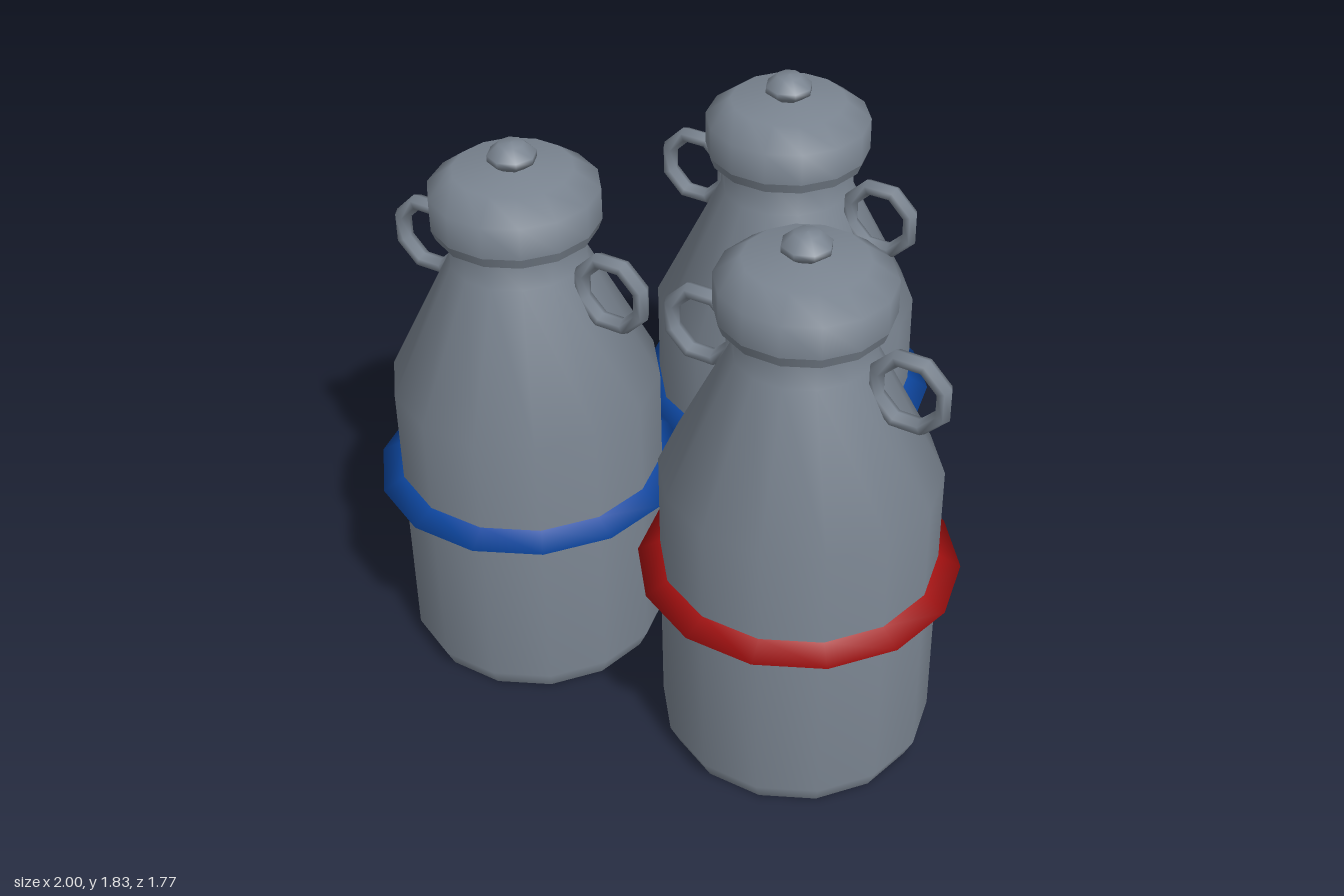
import * as THREE from 'three';

const steel = new THREE.MeshStandardMaterial({ color: 0x7a8490 });
steel.name = 'steel grey';
const blue = new THREE.MeshStandardMaterial({ color: 0x0d47a1 });
blue.name = 'band blue';
const red = new THREE.MeshStandardMaterial({ color: 0xa31010 });
red.name = 'band red';

// Turned part from a bottom-to-top [radius, height] profile, with corners on the x axis
function turned(name, profile, material, sides = 14) {
  const points = profile.map(([r, y]) => new THREE.Vector2(r, y));
  const mesh = new THREE.Mesh(new THREE.LatheGeometry(points, sides, Math.PI / 2), material);
  mesh.name = name;
  return mesh;
}

// Octagonal ring handle, flat sides up and down
function handle(name, side) {
  const geometry = new THREE.TorusGeometry(0.113, 0.025, 6, 8);
  geometry.rotateZ(Math.PI / 8);
  geometry.scale(1, 1, 1.2);
  const mesh = new THREE.Mesh(geometry, steel);
  mesh.name = name;
  mesh.position.set(side * 0.34, 1.407, 0);
  return mesh;
}

function milkCan(name, x, z, bandMaterial) {
  const can = new THREE.Group();
  can.name = name;
  can.position.set(x, 0, z);
  can.add(
    // Body: base, chamfered wall, sloping shoulder and neck
    turned('base', [[0, 0], [0.4, 0]], steel),
    turned('body', [[0.4, 0], [0.43, 0.065], [0.43, 1.01], [0.215, 1.44], [0.215, 1.56]], steel),
    // Lid with a bevelled rim and a round knob
    turned('lidUnderside', [[0.2, 1.545], [0.252, 1.545]], steel),
    turned('lidRim', [[0.252, 1.545], [0.265, 1.58]], steel),
    turned('lid', [[0.265, 1.58], [0.265, 1.685], [0.185, 1.745], [0, 1.755]], steel),
    turned('knob', [[0.035, 1.745], [0.076, 1.775], [0.076, 1.795], [0.04, 1.828], [0, 1.832]], steel, 8),
    // Coloured band with a pointed edge
    turned('band', [[0.428, 0.61], [0.5, 0.65], [0.428, 0.69]], bandMaterial),
    handle('leftHandle', 1),
    handle('rightHandle', -1)
  );
  return can;
}

export function createModel() {
  const model = new THREE.Group();
  model.name = 'milkCans';
  model.add(
    milkCan('frontRightCan', -0.5, 0.4, blue),
    milkCan('frontLeftCan', 0.5, 0.4, red),
    milkCan('backCan', 0, -0.4, blue)
  );
  return model;
}
